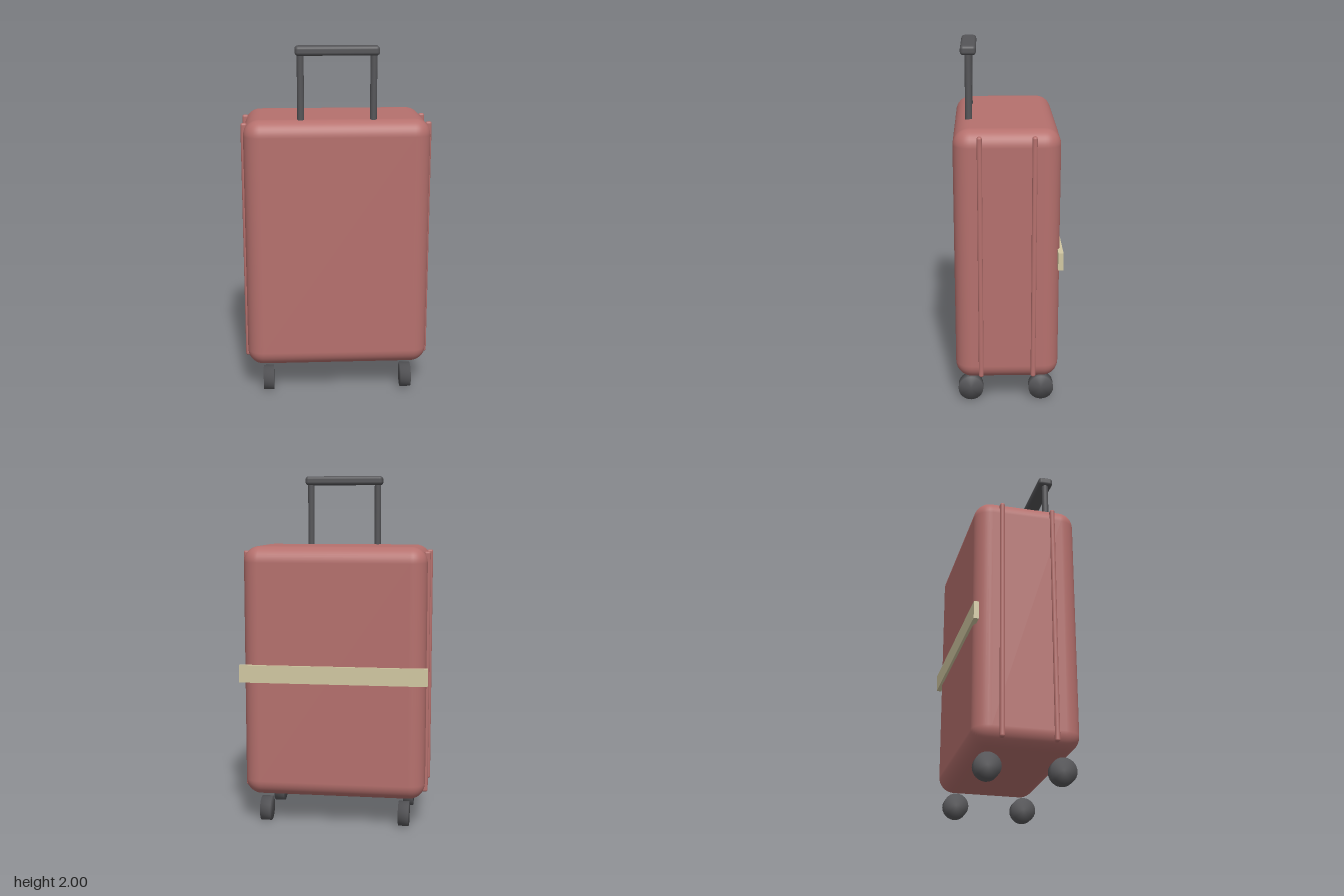
import * as THREE from 'three';
import { RoundedBoxGeometry } from 'three/addons/geometries/RoundedBoxGeometry.js';
import { mergeVertices } from 'three/addons/utils/BufferGeometryUtils.js';

const material = (name, color) => {
  const m = new THREE.MeshStandardMaterial({ color });
  m.name = name;
  return m;
};

export function createModel() {
  const red = material('shell red', 0xb5706d);
  const grey = material('dark grey', 0x555558);
  const beige = material('strap beige', 0xd2c8a2);

  const group = new THREE.Group();
  group.name = 'suitcase';

  const add = (name, geometry, mat, x, y, z) => {
    const mesh = new THREE.Mesh(geometry, mat);
    mesh.name = name;
    mesh.position.set(x, y, z);
    group.add(mesh);
    return mesh;
  };

  // Rounded shell
  add('shell', new RoundedBoxGeometry(1.036, 1.435, 0.575, 5, 0.09), red, 0, 0.8825, 0.0045);

  // Strap across the back
  add('strap', new THREE.BoxGeometry(1.066, 0.1, 0.028), beige, 0, 0.883, -0.284);

  // Telescopic handle
  add('handleGrip', new RoundedBoxGeometry(0.46, 0.052, 0.086, 4, 0.018), grey, 0, 1.974, 0.208);

  // Wheel with softly shaded rims
  const wheelGeometry = new THREE.CylinderGeometry(0.071, 0.071, 0.06, 24);
  wheelGeometry.rotateZ(Math.PI / 2);
  wheelGeometry.deleteAttribute('normal');
  wheelGeometry.deleteAttribute('uv');
  const wheel = mergeVertices(wheelGeometry);
  wheel.computeVertexNormals();

  const post = new THREE.CylinderGeometry(0.019, 0.019, 0.42, 16);
  const rib = new RoundedBoxGeometry(0.036, 1.38, 0.027, 4, 0.012);

  // Posts, side ribs and wheels on both sides
  for (const [side, s] of [['left', 1], ['right', -1]]) {
    add(`${side}HandlePost`, post, grey, s * 0.2, 1.75, 0.208);
    for (const [end, ribZ, wheelZ] of [['Front', 0.15, 0.21], ['Back', -0.14, -0.191]]) {
      add(`${side}${end}Rib`, rib, red, s * 0.515, 0.883, ribZ);
      add(`${side}${end}Wheel`, wheel, grey, s * 0.4, 0.073, wheelZ);
    }
  }
  return group;
}
